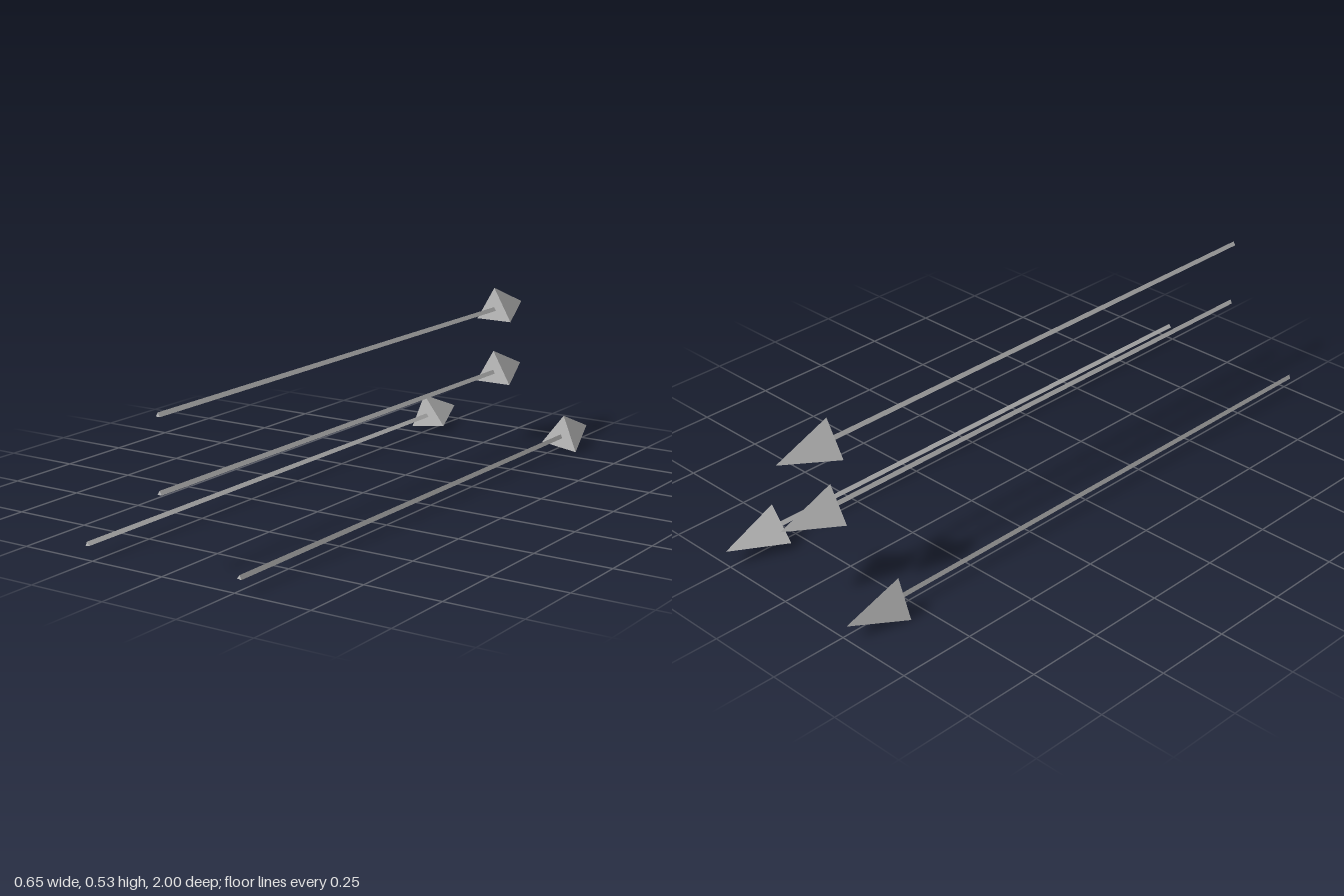
import * as THREE from 'three';

const TAIL_Z = 1, NECK_Z = -0.81, TIP_Z = -1;

// Three-sided prism or pyramid along z, one edge pointing up
function threeSided(frontRadius, backRadius, frontZ, backZ) {
  const geometry = new THREE.CylinderGeometry(backRadius, frontRadius, frontZ - backZ, 3);
  geometry.rotateX(-Math.PI / 2);
  geometry.translate(0, 0, (frontZ + backZ) / 2);
  return geometry;
}

export function createModel() {
  const group = new THREE.Group();
  group.name = 'arrows';
  const material = new THREE.MeshStandardMaterial({ color: 0xcccccc, flatShading: true });
  const shaftGeometry = threeSided(0.0083, 0.0083, TAIL_Z, NECK_Z);
  const headGeometry = threeSided(0.075, 0, NECK_Z, TIP_Z);

  // Each arrow: x, y and roll about its own axis
  function addArrow(name, x, y, roll) {
    const arrow = new THREE.Group();
    arrow.name = name;
    const shaft = new THREE.Mesh(shaftGeometry, material);
    shaft.name = 'shaft';
    const head = new THREE.Mesh(headGeometry, material);
    head.name = 'head';
    arrow.add(shaft, head);
    arrow.position.set(x, y, 0);
    arrow.rotation.z = roll;
    group.add(arrow);
  }

  addArrow('topArrow', 0, 0.457, 0);
  addArrow('middleArrow', 0, 0.2375, 0);
  // Mirrored lower pair, rolled outwards
  for (const [name, side] of [['leftArrow', 1], ['rightArrow', -1]]) {
    addArrow(name, side * 0.267, 0.0465, -side * 0.14);
  }
  return group;
}
